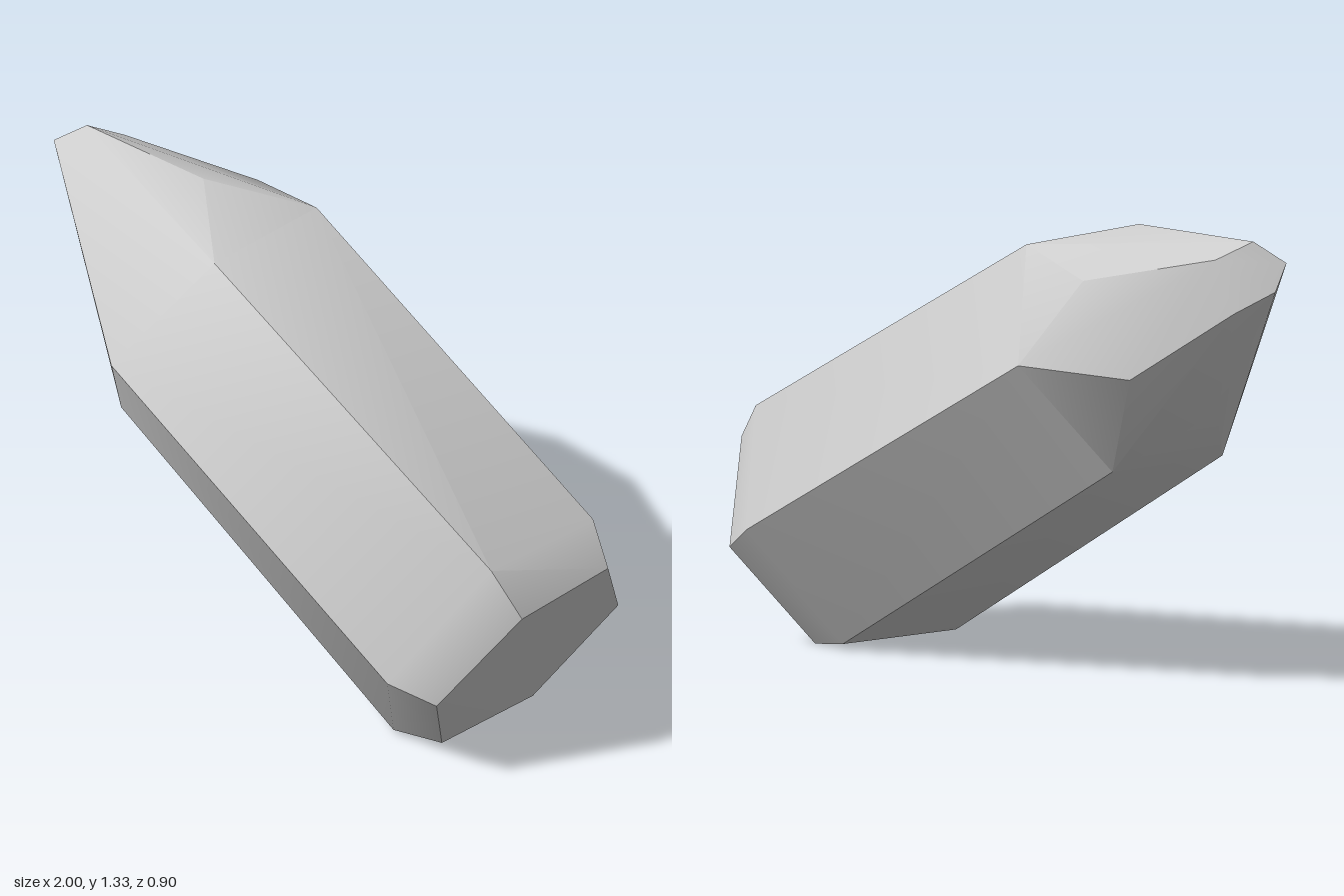
import * as THREE from 'three';
import { ConvexGeometry } from 'three/addons/geometries/ConvexGeometry.js';
import { toCreasedNormals } from 'three/addons/utils/BufferGeometryUtils.js';

// Cross-sections run around the crystal: upper front, upper back, back, lower back, lower front, front
const baseCap = [
  [1.0, 0.565, 0.17], [1.0, 0.575, -0.19], [0.845, 0.29, -0.395],
  [0.69, 0.003, -0.2], [0.69, 0.015, 0.18], [0.845, 0.29, 0.365],
];
const lowerRing = [
  [0.92, 0.715, 0.215], [0.9, 0.68, -0.232], [0.72, 0.36, -0.45],
  [0.55, 0.02, -0.228], [0.54, 0.015, 0.225], [0.73, 0.355, 0.45],
];
const upperRing = [
  [-0.2, 1.27, 0.197], [-0.2, 1.267, -0.23], [-0.38, 0.955, -0.445],
  [-0.55, 0.64, -0.23], [-0.55, 0.64, 0.22], [-0.38, 0.955, 0.44],
];
// Irregular facets between the shaft and the tip
const shoulder = [
  [-0.47, 1.335, -0.04], [-0.5, 1.2, -0.3], [-0.69, 0.93, -0.3], [-0.75, 0.81, 0.0],
];
const tip = [
  [-0.92, 1.33, -0.025], [-1.0, 1.27, 0.03], [-1.0, 1.19, -0.015],
  [-0.86, 1.28, -0.12], [-0.935, 1.13, -0.12],
];

export function createModel() {
  const model = new THREE.Group();
  model.name = 'crystal';

  const stone = new THREE.MeshStandardMaterial({ color: 0xcccccc });
  stone.name = 'pale grey stone';

  // One convex six-sided shard, with only its main edges kept sharp
  const points = [baseCap, lowerRing, upperRing, shoulder, tip]
    .flat()
    .map((p) => new THREE.Vector3(...p));
  const geometry = toCreasedNormals(new ConvexGeometry(points), THREE.MathUtils.degToRad(35));

  const shard = new THREE.Mesh(geometry, stone);
  shard.name = 'crystalShard';
  model.add(shard);
  return model;
}
